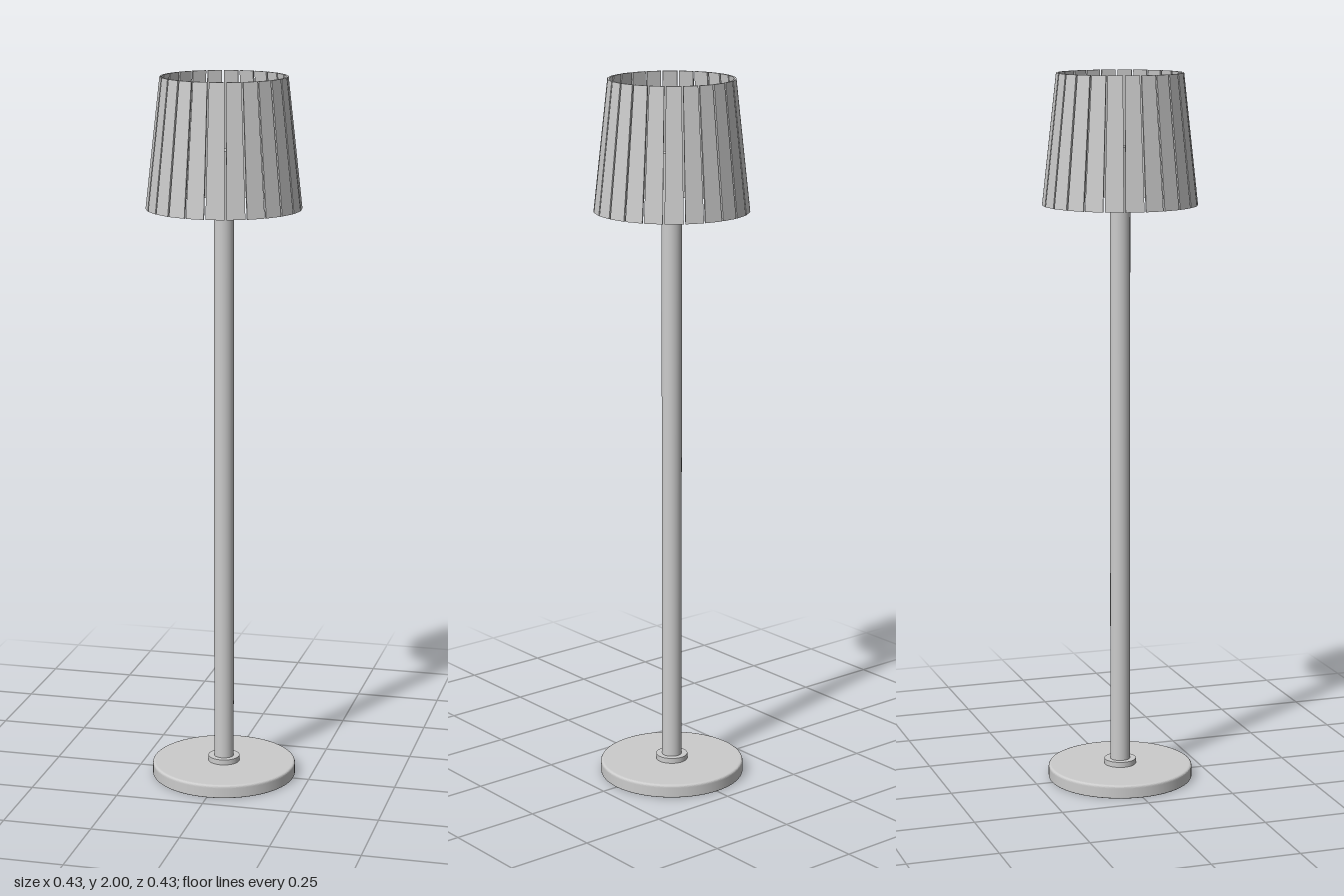
import * as THREE from 'three';

const SLATS = 24;

export function createModel() {
  const model = new THREE.Group();
  const material = new THREE.MeshStandardMaterial({ color: 0xcccccc });
  const flat = new THREE.MeshStandardMaterial({ color: 0xcccccc, flatShading: true });

  const add = (name, geometry, y = 0) => {
    const mesh = new THREE.Mesh(geometry, material);
    mesh.name = name;
    mesh.position.y = y;
    model.add(mesh);
  };

  // Round foot with softened rims
  const foot = new THREE.Shape();
  foot.moveTo(0, 0);
  foot.lineTo(0.201, 0);
  foot.quadraticCurveTo(0.205, 0, 0.205, 0.004);
  foot.lineTo(0.205, 0.03);
  foot.quadraticCurveTo(0.205, 0.038, 0.197, 0.038);
  foot.lineTo(0, 0.038);
  // doubled corner points keep the flat faces flat
  const profile = foot.getPoints(6).flatMap((p) => [p, p.clone()]);
  add('base', new THREE.LatheGeometry(profile, 64));

  // Collar and pole
  add('collar', new THREE.CylinderGeometry(0.045, 0.045, 0.053, 48), 0.0265);
  add('pole', new THREE.CylinderGeometry(0.028, 0.028, 1.75, 40), 0.925);

  // Tapered shade made of flat slats separated by narrow slits
  const shade = new THREE.Group();
  shade.name = 'shade';
  const step = (Math.PI * 2) / SLATS;
  const bottom = 1.64, top = 2, thickness = 0.006, gap = 0.005;
  const slat = new THREE.BoxGeometry(1, 1, 1);
  const pos = slat.attributes.position;
  for (let i = 0; i < pos.count; i++) {
    const upper = pos.getY(i) > 0;
    const apothem = (upper ? 0.175 : 0.215) * Math.cos(step / 2);
    const r = apothem - (pos.getZ(i) > 0 ? 0 : thickness);
    const half = r * Math.tan(step / 2) - gap / 2;
    pos.setXYZ(i, Math.sign(pos.getX(i)) * half, upper ? top : bottom, r);
  }
  slat.computeVertexNormals();
  for (let i = 0; i < SLATS; i++) {
    const mesh = new THREE.Mesh(slat, flat);
    mesh.name = 'shadeSlat';
    mesh.rotation.y = (i + 0.5) * step;
    shade.add(mesh);
  }
  model.add(shade);

  return model;
}
